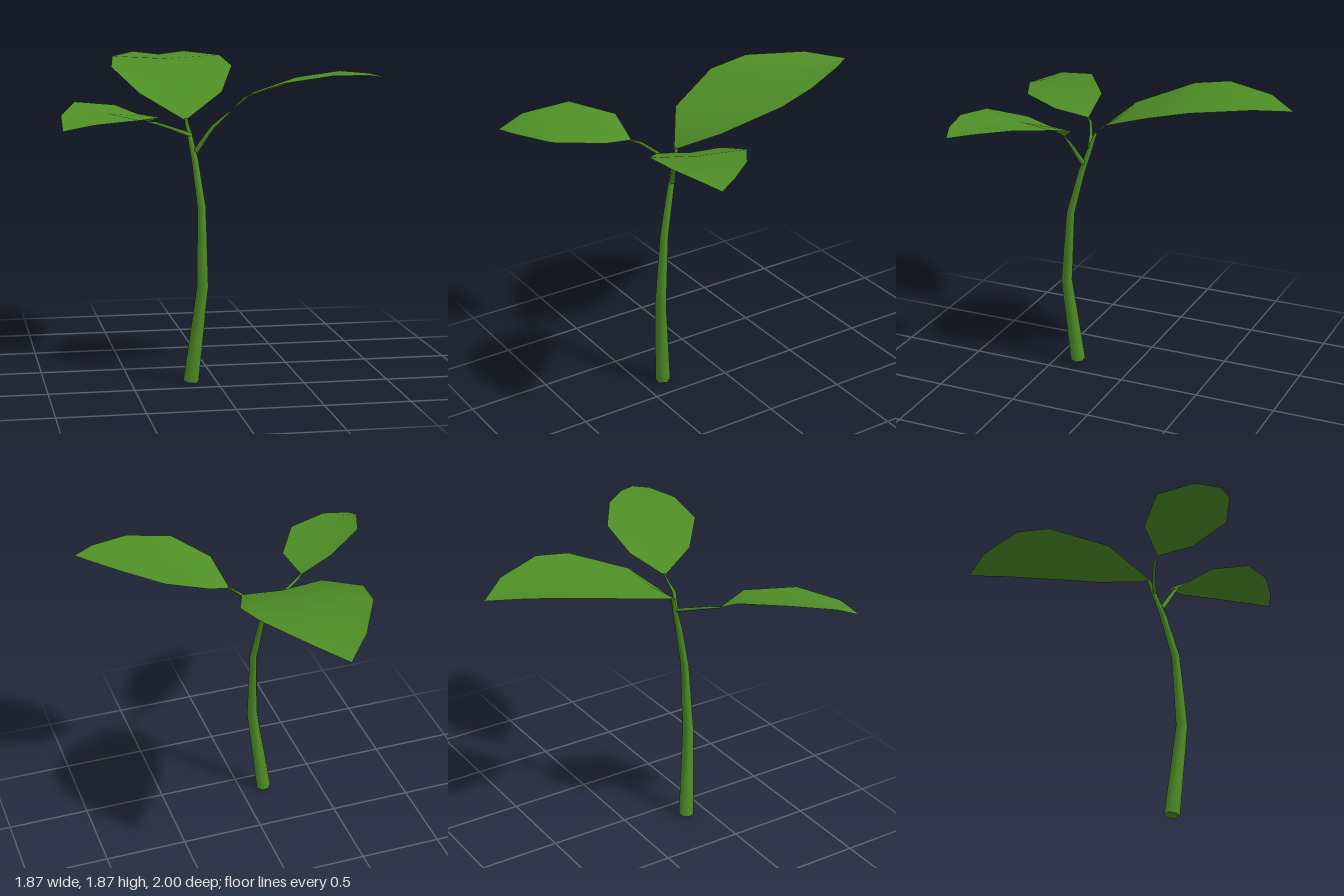
import * as THREE from 'three';

const leafGreen = new THREE.MeshStandardMaterial({ color: 0x4f8f26, side: THREE.DoubleSide });
leafGreen.name = 'leaf green';

function buildMesh(name, positions, index) {
  const geo = new THREE.BufferGeometry();
  geo.setAttribute('position', new THREE.Float32BufferAttribute(positions, 3));
  geo.setIndex(index);
  geo.computeVertexNormals();
  const mesh = new THREE.Mesh(geo, leafGreen);
  mesh.name = name;
  return mesh;
}

// Tapered six-sided stalk; each node is [x, y, z, radius]
function stalk(name, nodes, sides = 6) {
  const pts = nodes.map(n => new THREE.Vector3(n[0], n[1], n[2]));
  const pos = [], index = [];
  const ring = i => {
    const t = pts[Math.min(i + 1, pts.length - 1)].clone().sub(pts[Math.max(i - 1, 0)]).normalize();
    const u = new THREE.Vector3(0, 0, 1).cross(t).normalize();
    const v = t.clone().cross(u);
    for (let k = 0; k < sides; k++) {
      const a = (k / sides) * Math.PI * 2;
      const p = pts[i].clone()
        .addScaledVector(u, Math.cos(a) * nodes[i][3])
        .addScaledVector(v, Math.sin(a) * nodes[i][3]);
      pos.push(p.x, p.y, p.z);
    }
  };
  pts.forEach((_, i) => ring(i));
  for (let i = 0; i < pts.length - 1; i++) {
    for (let k = 0; k < sides; k++) {
      const a = i * sides + k, b = i * sides + (k + 1) % sides;
      index.push(a, b, b + sides, a, b + sides, a + sides);
    }
  }
  // End caps on their own rings, so the rims stay sharp
  const first = pos.length / 3;
  ring(0);
  ring(pts.length - 1);
  for (let k = 1; k < sides - 1; k++) {
    index.push(first, first + k + 1, first + k);
    index.push(first + sides, first + sides + k, first + sides + k + 1);
  }
  return buildMesh(name, pos, index);
}

// Leaf blade: base point, pairs of edge points, tip; the midrib sinks slightly
function leaf(name, base, pairs, tip, dip) {
  const pos = [...base], index = [];
  for (const [l, r] of pairs) {
    pos.push(...l, (l[0] + r[0]) / 2, (l[1] + r[1]) / 2 - dip, (l[2] + r[2]) / 2, ...r);
  }
  pos.push(...tip);
  const end = pairs.length * 3 + 1;
  index.push(0, 2, 1, 0, 3, 2);
  for (let i = 0; i < pairs.length - 1; i++) {
    for (let s = 0; s < 2; s++) {
      const a = 1 + i * 3 + s;
      index.push(a, a + 1, a + 4, a, a + 4, a + 3);
    }
  }
  index.push(end - 3, end - 2, end, end - 2, end - 1, end);
  return buildMesh(name, pos, index);
}

export function createModel() {
  const model = new THREE.Group();
  model.name = 'seedling';

  // Main stem and the two side stalks
  model.add(stalk('stem', [
    [-0.15, 0.006, 0.365, 0.046], [-0.088, 0.575, 0.408, 0.034], [-0.087, 1.03, 0.375, 0.025],
    [-0.115, 1.3, 0.31, 0.02], [-0.138, 1.44, 0.265, 0.015], [-0.158, 1.54, 0.235, 0.01],
  ]));
  model.add(stalk('leftStalk', [
    [-0.11, 1.355, 0.3, 0.016], [-0.015, 1.5, 0.337, 0.011], [0.085, 1.585, 0.33, 0.005],
  ]));
  model.add(stalk('rightStalk', [
    [-0.13, 1.445, 0.265, 0.013], [-0.26, 1.495, 0.312, 0.01],
    [-0.355, 1.53, 0.36, 0.009], [-0.405, 1.54, 0.402, 0.005],
  ]));

  // Large back leaf, mirrored about its midrib: [half width, y, z]
  const mid = -0.163;
  const backPairs = [
    [0.248, 1.68, 0.08], [0.37, 1.81, -0.255], [0.335, 1.86, -0.49], [0.163, 1.868, -0.81],
  ].map(([w, y, z]) => [[mid - w, y, z], [mid + w, y, z]]);
  model.add(leaf('backLeaf', [mid, 1.53, 0.25], backPairs, [mid, 1.835, -1], 0.02));

  // Leaf on the left side
  model.add(leaf('leftLeaf', [0.075, 1.575, 0.33], [
    [[0.25, 1.685, 0.195], [0.125, 1.69, 0.54]],
    [[0.51, 1.77, 0.195], [0.32, 1.777, 0.71]],
    [[0.73, 1.815, 0.345], [0.59, 1.817, 0.735]],
    [[0.86, 1.812, 0.51], [0.81, 1.815, 0.69]],
  ], [0.932, 1.795, 0.64], 0.015));

  // Leaf on the right side, rolled with its outer edge higher
  model.add(leaf('rightLeaf', [-0.402, 1.54, 0.395], [
    [[-0.355, 1.585, 0.6], [-0.59, 1.642, 0.39]],
    [[-0.51, 1.6, 0.87], [-0.835, 1.68, 0.57]],
    [[-0.77, 1.59, 0.985], [-0.935, 1.63, 0.835]],
  ], [-0.94, 1.56, 0.997], 0.015));

  return model;
}
